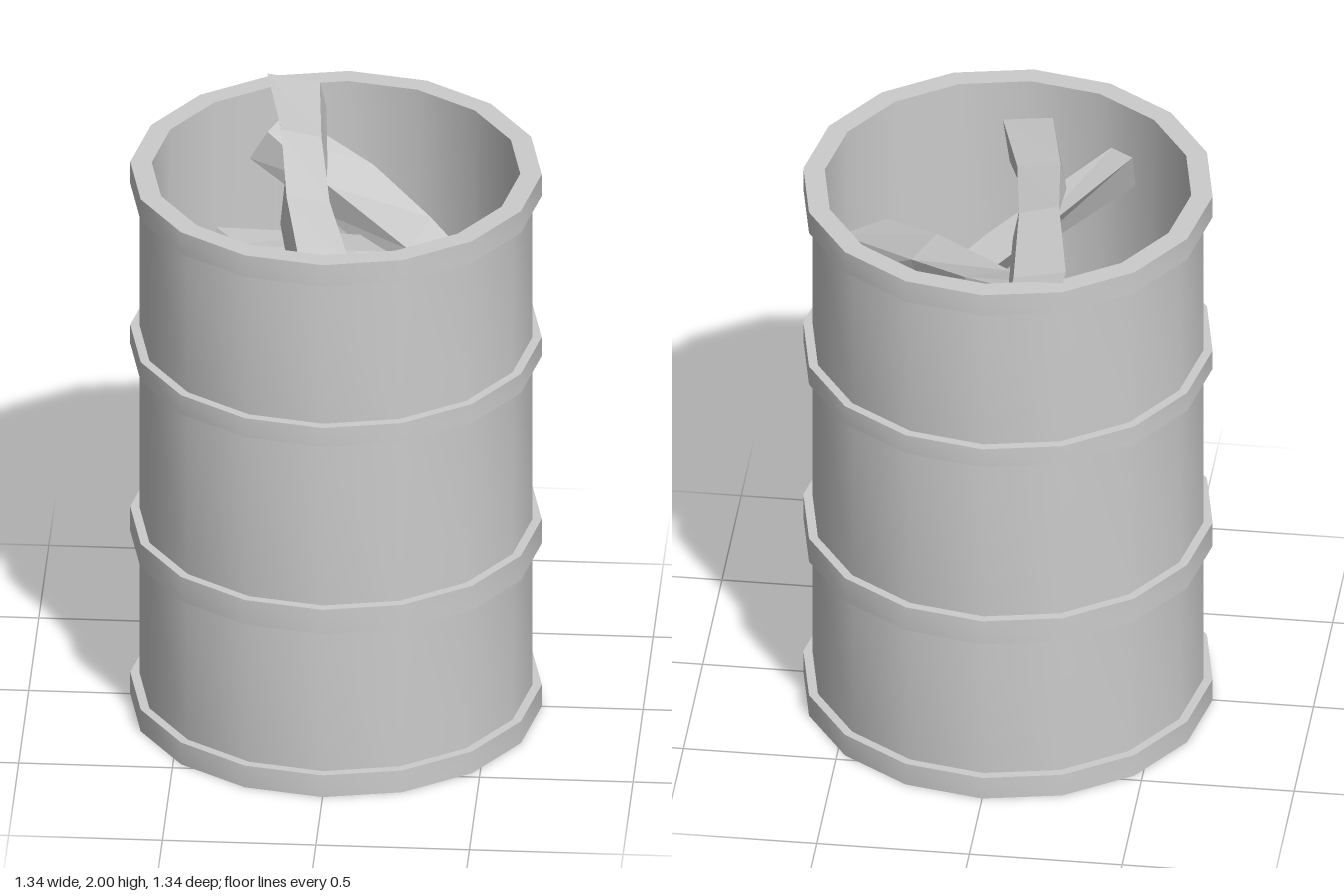
import * as THREE from 'three';
import { toCreasedNormals } from 'three/addons/utils/BufferGeometryUtils.js';

const grey = new THREE.MeshStandardMaterial({ color: 0xcccccc });
const greyFlat = new THREE.MeshStandardMaterial({ color: 0xcccccc, flatShading: true });

// Hollow drum: one lathe profile with four raised bands
function makeDrum() {
  const outer = 0.67, body = 0.64, inner = 0.6, top = 1.96, floor = 0.06;
  const bands = [[0, 0.08], [0.6, 0.69], [1.29, 1.36], [1.88, top]];
  const profile = [[0, 0]];
  bands.forEach(([low, high], i) => {
    if (i > 0) profile.push([body, low]);
    profile.push([outer, low], [outer, high]);
    if (i < bands.length - 1) profile.push([body, high]);
  });
  profile.push([inner, top], [inner, floor], [0, floor]);
  const lathe = new THREE.LatheGeometry(profile.map(p => new THREE.Vector2(...p)), 16);
  const mesh = new THREE.Mesh(toCreasedNormals(lathe, Math.PI / 5), grey);
  mesh.name = 'drum';
  return mesh;
}

// Warped plank: each section is two top corners and the offset to the bottom corners
function makePlank(name, sections) {
  const positions = [];
  const quad = (a, b, c, d) => [a, b, c, a, c, d].forEach(p => positions.push(...p));
  const rings = sections.map(([first, second, drop]) => {
    const below = p => p.map((v, i) => v + drop[i]);
    return [first, second, below(second), below(first)];
  });
  for (let i = 0; i < rings.length - 1; i++) {
    for (let k = 0; k < 4; k++) {
      const n = (k + 1) % 4;
      quad(rings[i][k], rings[i + 1][k], rings[i + 1][n], rings[i][n]);
    }
  }
  quad(...rings[0]);
  quad(...[...rings[rings.length - 1]].reverse());
  const geometry = new THREE.BufferGeometry();
  geometry.setAttribute('position', new THREE.Float32BufferAttribute(positions, 3));
  geometry.computeVertexNormals();
  const mesh = new THREE.Mesh(geometry, greyFlat);
  mesh.name = name;
  return mesh;
}

export function createModel() {
  const model = new THREE.Group();
  model.name = 'drumWithPlanks';
  model.add(makeDrum());

  // Three planks crossing over one another inside the mouth
  model.add(makePlank('topPlank', [
    [[-0.26, 2.0, -0.56], [-0.09, 1.97, -0.57], [0.02, -0.1, -0.02]],
    [[-0.19, 2.0, -0.18], [-0.06, 1.97, -0.19], [0.02, -0.1, 0]],
    [[-0.15, 1.94, 0.17], [-0.01, 1.92, 0.16], [-0.02, -0.1, 0]],
    [[-0.08, 1.87, 0.53], [0.08, 1.87, 0.5], [-0.03, -0.12, -0.06]],
  ]));
  model.add(makePlank('middlePlank', [
    [[-0.25, 1.86, -0.42], [-0.19, 1.88, -0.53], [-0.06, -0.11, -0.02]],
    [[-0.04, 1.77, -0.23], [0.1, 1.8, -0.33], [-0.02, -0.11, -0.02]],
    [[0.24, 1.7, 0.06], [0.3, 1.72, -0.13], [-0.02, -0.11, 0.01]],
    [[0.43, 1.62, 0.25], [0.57, 1.59, 0.18], [0, -0.11, -0.05]],
  ]));
  model.add(makePlank('bottomPlank', [
    [[0.35, 1.53, -0.36], [0.49, 1.54, -0.33], [0.02, -0.14, 0.06]],
    [[0.19, 1.6, -0.21], [0.29, 1.59, -0.13], [0.05, -0.13, 0.07]],
    [[-0.03, 1.71, -0.02], [0.08, 1.7, 0.08], [0.05, -0.13, 0.07]],
    [[-0.37, 1.89, 0.3], [-0.29, 1.87, 0.38], [0, -0.16, 0.08]],
  ]));
  return model;
}
